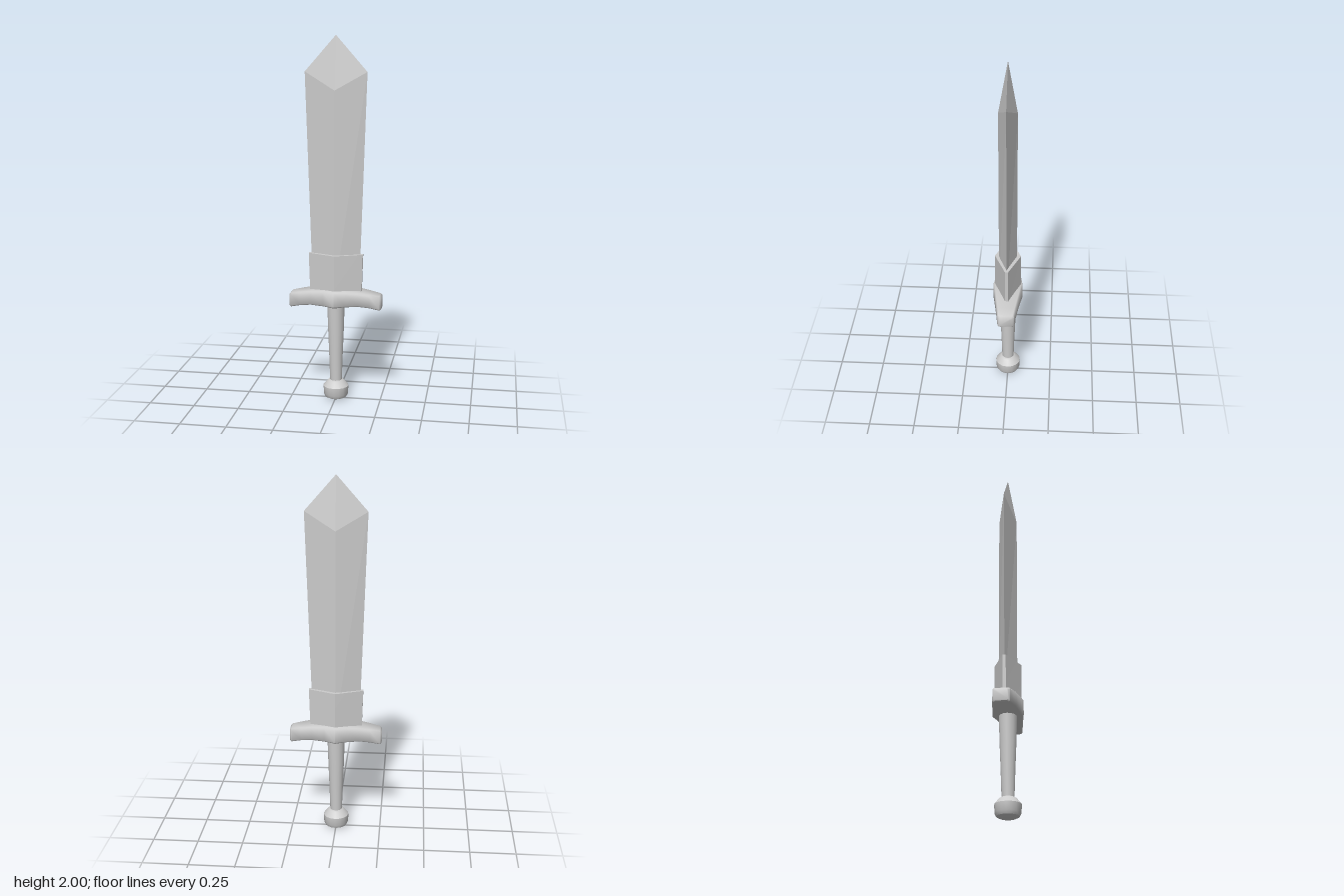
import * as THREE from 'three';
import { toCreasedNormals } from 'three/addons/utils/BufferGeometryUtils.js';

const material = new THREE.MeshStandardMaterial({ color: 0xcccccc });

// Skin a list of equal-length rings of [x, y, z] points and cap both ends.
function loft(rings, crease) {
  const pos = [];
  const tri = (a, b, c) => pos.push(...a, ...b, ...c);
  const n = rings[0].length;
  for (let i = 0; i < rings.length - 1; i++) {
    for (let j = 0; j < n; j++) {
      const k = (j + 1) % n;
      const [a, b, c, d] = [rings[i][j], rings[i][k], rings[i + 1][k], rings[i + 1][j]];
      tri(a, d, b);
      if (c.some((v, m) => v !== d[m])) tri(b, d, c);
    }
  }
  const first = rings[0], last = rings[rings.length - 1];
  for (let j = 1; j < n - 1; j++) {
    tri(first[0], first[j], first[j + 1]);
    if (last[0].some((v, m) => v !== last[j][m])) tri(last[0], last[j + 1], last[j]);
  }
  const geometry = new THREE.BufferGeometry();
  geometry.setAttribute('position', new THREE.Float32BufferAttribute(pos, 3));
  return toCreasedNormals(geometry, crease);
}

function part(name, geometry) {
  const mesh = new THREE.Mesh(geometry, material);
  mesh.name = name;
  return mesh;
}

// Diamond section: edges at height ySide, central ridges at height yRidge.
const diamond = (w, d, ySide, yRidge = ySide) =>
  [[w, ySide, 0], [0, yRidge, d], [-w, ySide, 0], [0, yRidge, -d]];

// Diamond section with its two sharp edges cut off.
const cutDiamond = (w, d, e, y) =>
  [[w, y, -e], [w, y, e], [0, y, d], [-w, y, e], [-w, y, -e], [0, y, -d]];

// Chamfered rectangle across the guard at position x.
function guardSection(x, bottom, top, d, c) {
  return [
    [d, bottom + c], [d, top - c], [d - c, top], [c - d, top],
    [-d, top - c], [-d, bottom + c], [c - d, bottom], [d - c, bottom],
  ].map(([z, y]) => [x, y, z]);
}

const lathe = (points, sides) => toCreasedNormals(
  new THREE.LatheGeometry(points.map(([r, y]) => new THREE.Vector2(r, y)), sides), 0.6);

export function createModel() {
  const sword = new THREE.Group();
  sword.name = 'sword';

  // Blade widening towards a faceted point
  sword.add(part('blade', loft([
    diamond(0.128, 0.05, 0.62),
    diamond(0.167, 0.05, 1.81, 1.715),
    diamond(0, 0, 2),
  ], 0.05)));

  // Collar around the blade root
  sword.add(part('collar', loft([
    cutDiamond(0.142, 0.072, 0.009, 0.61),
    cutDiamond(0.149, 0.072, 0.009, 0.83),
  ], 0.05)));

  // Drooping crossguard, mirrored about the middle: x, bottom, top, half depth
  const half = [
    [0.254, 0.535, 0.598, 0.037],
    [0.245, 0.529, 0.606, 0.045],
    [0.19, 0.542, 0.617, 0.0535],
    [0.13, 0.55, 0.627, 0.063],
    [0.06, 0.547, 0.633, 0.0735],
  ];
  const stations = [
    ...half.map(([x, ...rest]) => [-x, ...rest]),
    [0, 0.54, 0.635, 0.083],
    ...half.slice().reverse(),
  ];
  sword.add(part('crossguard', loft(
    stations.map(([x, b, t, d]) => guardSection(x, b, t, d, 0.007)), 0.85)));

  // Tapered grip
  sword.add(part('grip', lathe([[0.033, 0.1], [0.038, 0.25], [0.044, 0.4], [0.049, 0.56]], 16)));

  // Rounded pommel with a sloped shoulder
  sword.add(part('pommel', lathe([
    [0, 0], [0.042, 0.003], [0.06, 0.012], [0.069, 0.03],
    [0.07, 0.074], [0.045, 0.104], [0.036, 0.109], [0, 0.109],
  ], 16)));

  return sword;
}
